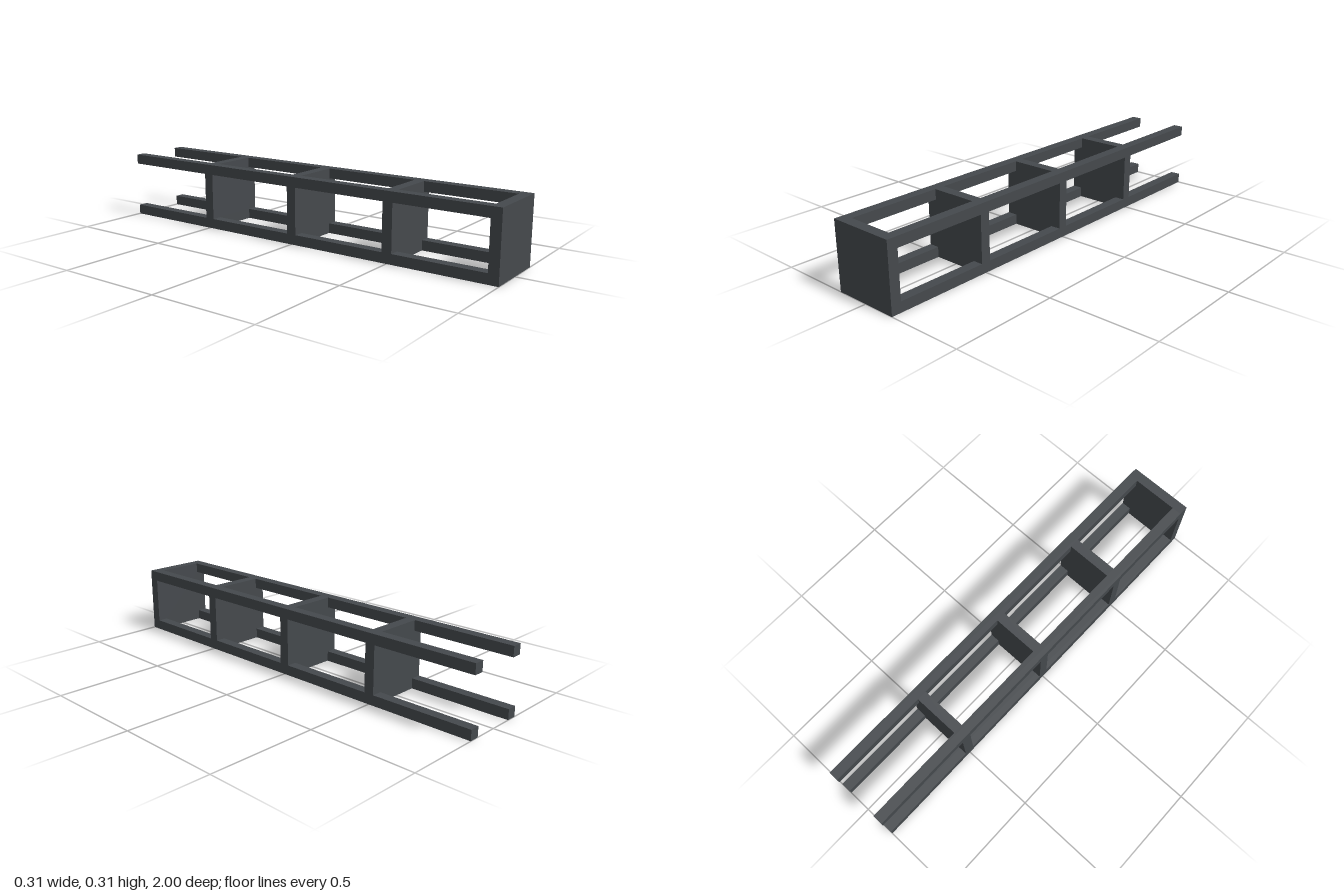
import * as THREE from 'three';

const W = 0.312;   // outer width and height
const T = 0.047;   // bar and panel thickness
const H = W / 2;

export function createModel() {
  const model = new THREE.Group();
  model.name = 'boxFrame';
  const material = new THREE.MeshStandardMaterial({ color: 0x45494d });

  const add = (name, geometry, x, y, z) => {
    const mesh = new THREE.Mesh(geometry, material);
    mesh.name = name;
    mesh.position.set(x, y, z);
    model.add(mesh);
  };

  // solid plate closing the front end
  add('frontPlate', new THREE.BoxGeometry(W, W, T), 0, H, 1 - T / 2);

  // four corner rails running back from the plate, open at the rear
  const railGeometry = new THREE.BoxGeometry(T, T, 2 - T);
  const offset = H - T / 2;
  for (const [side, sx] of [['left', 1], ['right', -1]]) {
    for (const [level, sy] of [['Upper', 1], ['Lower', -1]]) {
      add(`${side}${level}Rail`, railGeometry, sx * offset, H + sy * offset, -T / 2);
    }
  }

  // cross panels, notched at the corners to fit flush around the rails
  const n = H - T;
  const outline = [
    [-n, -H], [n, -H], [n, -n], [H, -n], [H, n], [n, n],
    [n, H], [-n, H], [-n, n], [-H, n], [-H, -n], [-n, -n],
  ].map(([x, y]) => new THREE.Vector2(x, y));
  const panelGeometry = new THREE.ExtrudeGeometry(new THREE.Shape(outline), { depth: T, bevelEnabled: false });
  panelGeometry.translate(0, 0, -T / 2);
  [0.5, 0, -0.5].forEach((z, i) => add(`crossPanel${i + 1}`, panelGeometry, 0, H, z));

  return model;
}
